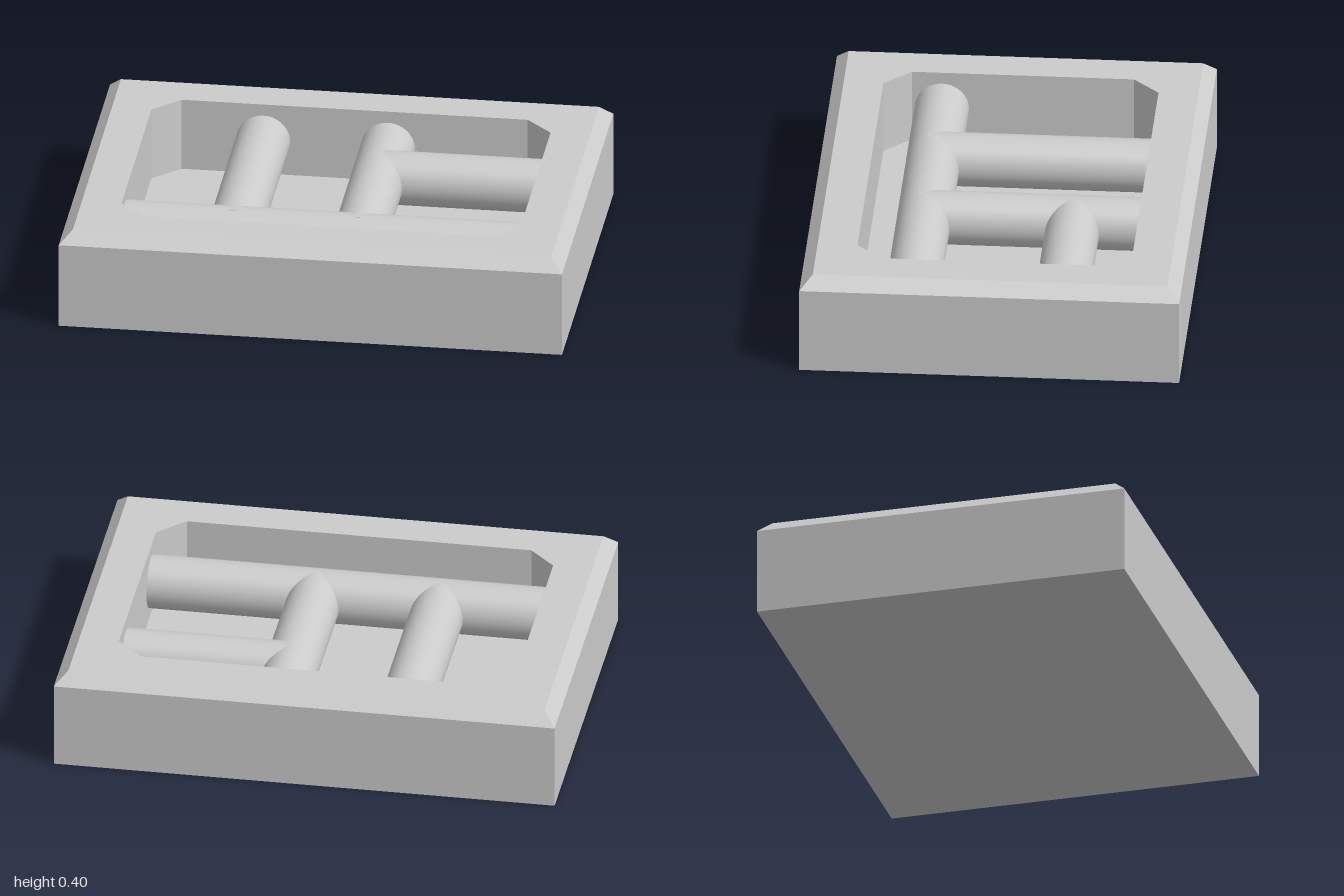
import * as THREE from 'three';
import { mergeGeometries } from 'three/addons/utils/BufferGeometryUtils.js';

// Rectangle outline with optional cut corners, counter-clockwise seen from above
function outline(x, z, cut = 0) {
  if (!cut) return [[x, z], [x, -z], [-x, -z], [-x, z]];
  return [
    [x, z - cut], [x, cut - z], [x - cut, -z], [cut - x, -z],
    [-x, cut - z], [-x, z - cut], [cut - x, z], [x - cut, z],
  ];
}

// Flat band of quads from one outline up (or down) to another
function band(a, ya, b, yb) {
  const pos = [];
  a.forEach((p, i) => {
    const j = (i + 1) % a.length;
    const A = [p[0], ya, p[1]], B = [a[j][0], ya, a[j][1]];
    const C = [b[j][0], yb, b[j][1]], D = [b[i][0], yb, b[i][1]];
    pos.push(...A, ...B, ...C, ...A, ...C, ...D);
  });
  const g = new THREE.BufferGeometry();
  g.setAttribute('position', new THREE.Float32BufferAttribute(pos, 3));
  g.computeVertexNormals();
  return g;
}

// Horizontal face at height y, with an optional hole
function face(points, y, hole, down = false) {
  const toVectors = (list) => list.map(([x, z]) => new THREE.Vector2(x, -z));
  const shape = new THREE.Shape(toVectors(points));
  if (hole) shape.holes.push(new THREE.Path(toVectors(hole)));
  const g = new THREE.ShapeGeometry(shape).toNonIndexed();
  g.deleteAttribute('uv');
  return g.rotateX(down ? Math.PI / 2 : -Math.PI / 2).translate(0, y, 0);
}

export function createModel() {
  const group = new THREE.Group();
  const material = new THREE.MeshStandardMaterial({ color: 0xcccccc });
  const add = (geometry, name) => {
    const mesh = new THREE.Mesh(geometry, material);
    mesh.name = name;
    group.add(mesh);
    return mesh;
  };

  // Solid tray: bevelled top rim around a recess with cut corners
  const base = outline(1, 0.75);
  const rim = outline(0.95, 0.7);
  const recess = outline(0.793, 0.543, 0.105);
  const floorY = 0.1, bevelY = 0.35, topY = 0.4;
  add(mergeGeometries([
    face(base, 0, null, true),
    band(base, 0, base, bevelY),
    band(base, bevelY, rim, topY),
    face(rim, topY, recess),
    band(recess, topY, recess, floorY),
    face(recess, floorY),
  ]), 'tray');

  // Round bars crossing the recess, ends buried in the walls or in each other
  const radius = 0.107, barY = 0.245;
  function bar(name, axis, from, to, offset) {
    const g = new THREE.CylinderGeometry(radius, radius, to - from, 32);
    const mid = (from + to) / 2;
    if (axis === 'x') g.rotateZ(Math.PI / 2).translate(mid, barY, offset);
    else g.rotateX(Math.PI / 2).translate(offset, barY, mid);
    add(g, name);
  }
  bar('frontBar', 'x', -0.8, 0.8, 0.32);
  bar('rightCrossBar', 'z', -0.55, 0.34, -0.363);
  bar('middleCrossBar', 'z', -0.55, 0.34, 0.133);
  bar('sideBar', 'x', 0.14, 0.8, -0.27);

  return group;
}
